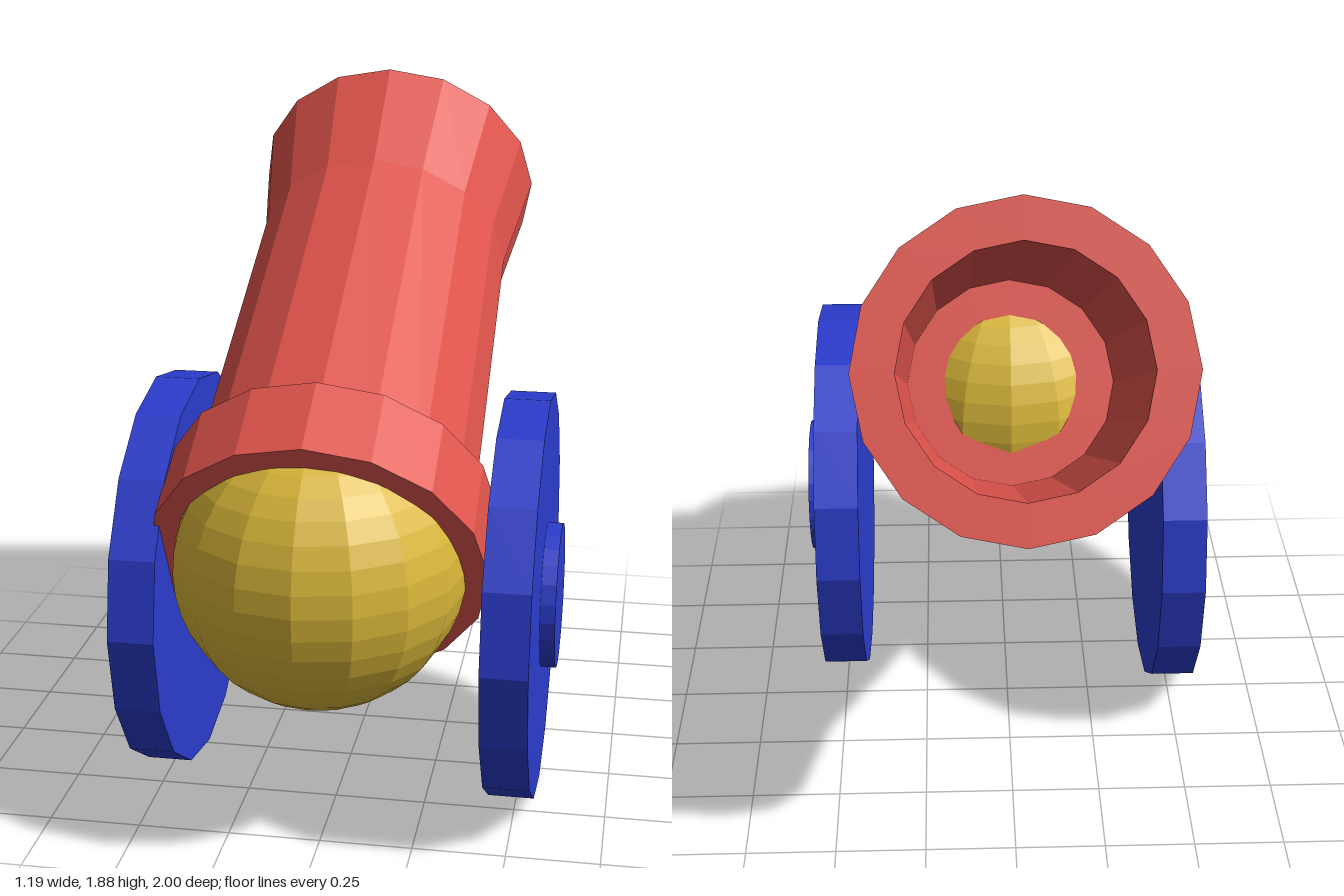
import * as THREE from 'three';

const paint = (color) => new THREE.MeshStandardMaterial({ color, flatShading: true });

export function createModel() {
  const model = new THREE.Group();
  const red = paint(0xe0544c);
  const yellow = paint(0xdcb93a);
  const blue = paint(0x2b3ccc);

  const add = (parent, name, geometry, material) => {
    const mesh = new THREE.Mesh(geometry, material);
    mesh.name = name;
    parent.add(mesh);
    return mesh;
  };
  const lathe = (profile) =>
    new THREE.LatheGeometry(profile.map(([r, y]) => new THREE.Vector2(r, y)), 16);

  // Tilted gun: local y runs from the breech to the muzzle
  const gun = new THREE.Group();
  gun.name = 'gun';
  gun.position.set(-0.02, 0.743, 0.633);
  gun.rotation.x = -Math.PI * 62 / 180;
  model.add(gun);

  // Hollow barrel with flared muzzle
  add(gun, 'barrel', lathe([
    [0, 0.05], [0.388, 0.05], [0.371, 1.244], [0.425, 1.618],
    [0.315, 1.618], [0.315, 0.35], [0, 0.35],
  ]), red);

  // Thick band around the breech
  add(gun, 'breechRing', lathe([
    [0.35, 0], [0.45, 0], [0.45, 0.235], [0.35, 0.235],
  ]), red);

  // Ball closing the breech
  add(model, 'breechBall', new THREE.SphereGeometry(0.39, 16, 20), yellow)
    .position.set(-0.02, 0.75, 0.61);

  // Solid wheels with a raised hub on the outer side
  const addWheel = (name, side, y, z) => {
    const wheel = new THREE.Group();
    wheel.name = name;
    wheel.position.set(side * 0.493, y, z);
    wheel.rotation.z = -side * Math.PI / 2;
    add(wheel, 'wheelDisc', new THREE.CylinderGeometry(0.56, 0.56, 0.125, 16), blue);
    add(wheel, 'wheelHub', new THREE.CylinderGeometry(0.2, 0.2, 0.08, 24), blue).position.y = 0.064;
    model.add(wheel);
  };
  addWheel('leftWheel', 1, 0.57, 0.31);
  addWheel('rightWheel', -1, 0.56, 0.23);

  return model;
}
